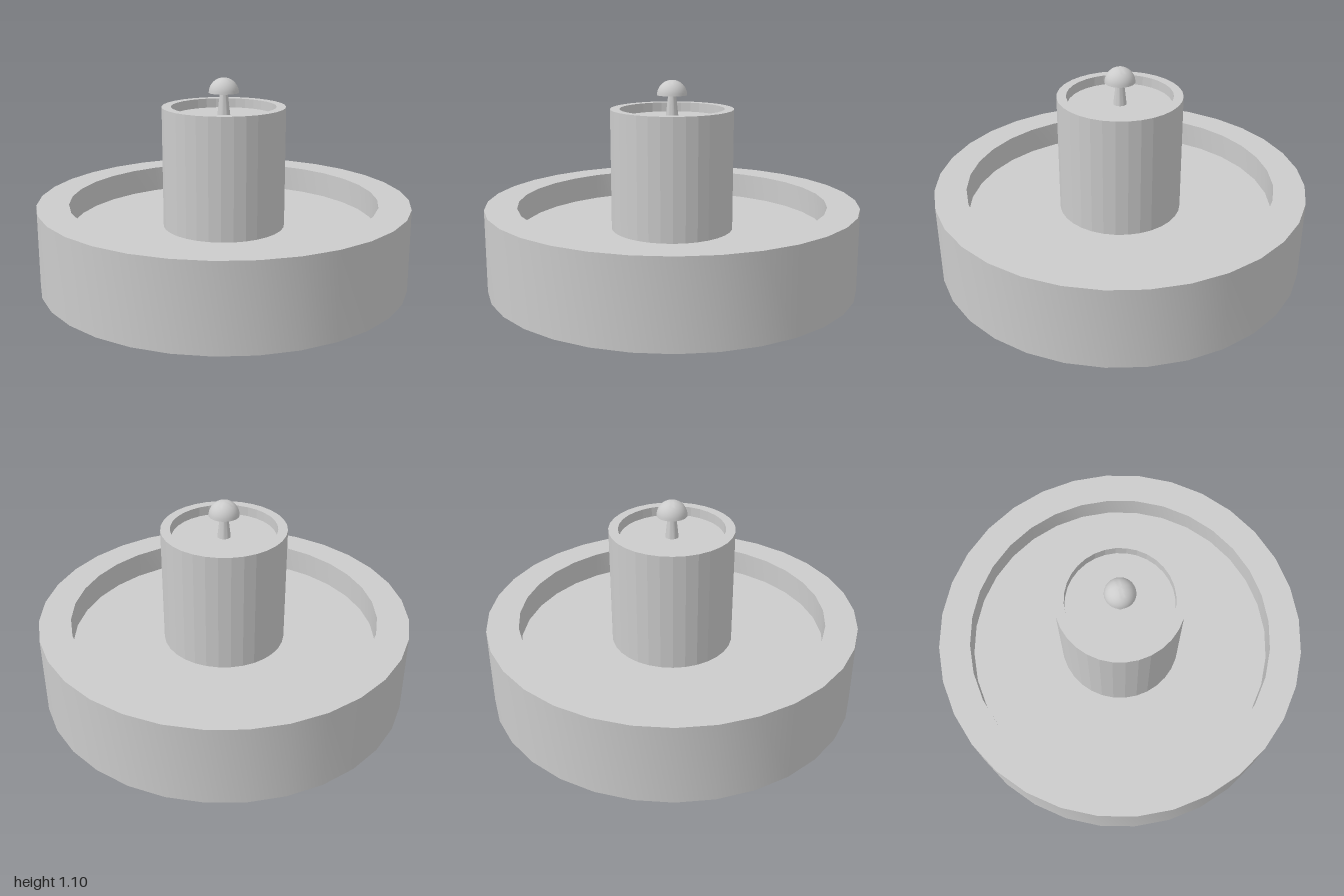
import * as THREE from 'three';
import { toCreasedNormals } from 'three/addons/utils/BufferGeometryUtils.js';

const SIDES = 32;

export function createModel() {
  const fountain = new THREE.Group();
  fountain.name = 'fountain';

  const smooth = new THREE.MeshStandardMaterial({ color: 0xcccccc });
  const faceted = new THREE.MeshStandardMaterial({ color: 0xcccccc, flatShading: true });

  // Profile points are [radius, height], listed from the bottom up the outside
  function turned(name, profile, material = smooth) {
    const points = profile.map(([r, y]) => new THREE.Vector2(r, y));
    const geometry = toCreasedNormals(new THREE.LatheGeometry(points, SIDES), 0.5);
    const mesh = new THREE.Mesh(geometry, material);
    mesh.name = name;
    fountain.add(mesh);
  }

  function waterDisc(name, radius, y) {
    const mesh = new THREE.Mesh(new THREE.CircleGeometry(radius, SIDES), smooth);
    mesh.name = name;
    mesh.rotation.x = -Math.PI / 2;
    mesh.position.y = y;
    fountain.add(mesh);
  }

  // Wide basin with a thick wall and a solid floor
  turned('basin', [[0, 0], [1, 0], [1, 0.445], [0.83, 0.445], [0.83, 0.2], [0, 0.2]]);
  waterDisc('basinWater', 0.83, 0.3);

  // Central column with a shallow bowl in its top
  turned('column', [[0, 0.2], [0.33, 0.2], [0.33, 0.95], [0.28, 0.95], [0.28, 0.89], [0, 0.89]], faceted);
  waterDisc('columnWater', 0.275, 0.9);

  // Tapered nozzle under a half-round cap
  turned('nozzle', [[0, 0.89], [0.036, 0.89], [0.02, 1.03], [0, 1.03]]);
  const dome = [[0, 1.022]];
  for (let i = 0; i <= 10; i++) {
    const a = (i / 10) * Math.PI / 2;
    dome.push([0.08 * Math.cos(a), 1.022 + 0.08 * Math.sin(a)]);
  }
  turned('nozzleCap', dome);

  return fountain;
}
